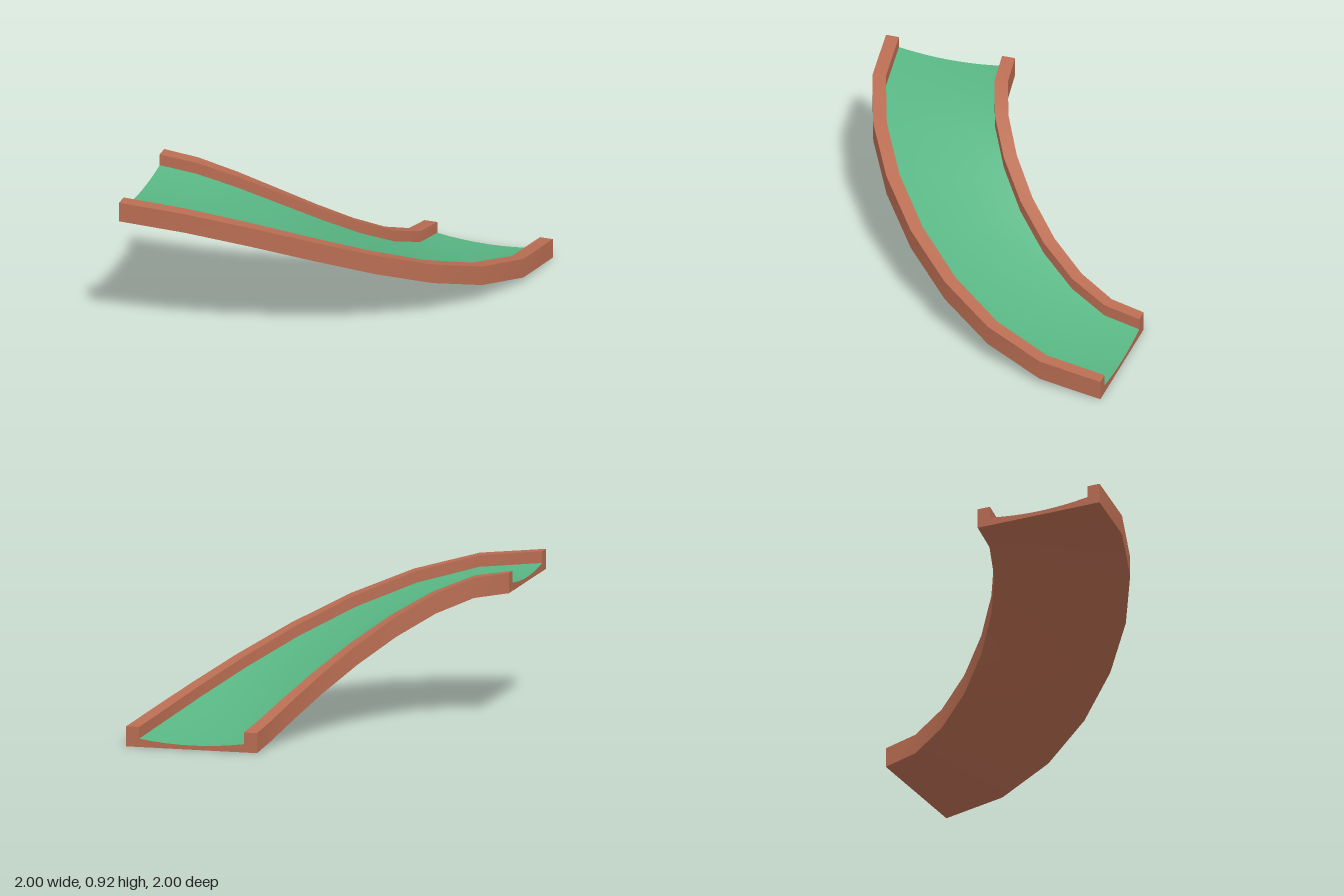
import * as THREE from 'three';

const STEPS = 8;      // straight pieces along the bend
const HALF = 0.4;     // half width of the track
const RAIL = 0.08;    // rail width
const TOP = 0.12;     // rail height
const RISE = 0.8;

// Centre line: a quarter turn that eases up from the low end to the high end
const path = new THREE.CubicBezierCurve3(
  new THREE.Vector3(0.6, 0, -1),
  new THREE.Vector3(0.6, 0, -0.2),
  new THREE.Vector3(-0.2, RISE, 0.6),
  new THREE.Vector3(-1, RISE, 0.6)
);

// Point at u across and v above the centre line
function at(t, u, v) {
  const p = path.getPoint(t);
  const d = path.getTangent(t).setY(0).normalize();
  return p.add(new THREE.Vector3(d.z * u, v, -d.x * u));
}

// Sweeps an open line of cross-section points along the path
function sweep(line) {
  const pos = [], index = [], n = line.length;
  for (let i = 0; i <= STEPS; i++) {
    for (const [u, v] of line) pos.push(...at(i / STEPS, u, v).toArray());
  }
  for (let i = 0; i < STEPS; i++) {
    for (let j = 0; j < n - 1; j++) {
      const a = i * n + j, b = a + 1, c = a + n, d = b + n;
      index.push(a, b, c, b, d, c);
    }
  }
  const g = new THREE.BufferGeometry();
  g.setAttribute('position', new THREE.Float32BufferAttribute(pos, 3));
  g.setIndex(index);
  g.computeVertexNormals();
  return g;
}

// Flat face closing one end of the track
function endCap(profile, t) {
  const g = new THREE.ShapeGeometry(new THREE.Shape(profile.map(([u, v]) => new THREE.Vector2(u, v))));
  const p = g.attributes.position;
  for (let i = 0; i < p.count; i++) {
    const q = at(t, p.getX(i), p.getY(i));
    p.setXYZ(i, q.x, q.y, q.z);
  }
  if (t === 0) g.setIndex(Array.from(g.index.array).reverse());
  g.computeVertexNormals();
  return g;
}

export function createModel() {
  const brick = new THREE.MeshStandardMaterial({ color: 0xb96d52 });
  brick.name = 'brick brown';
  const green = new THREE.MeshStandardMaterial({ color: 0x58b583 });
  green.name = 'turf green';

  const model = new THREE.Group();
  model.name = 'curvedRamp';
  const add = (parent, name, geometry, material) => {
    const m = new THREE.Mesh(geometry, material);
    m.name = name;
    parent.add(m);
  };

  // Dished running surface, from the outer rail to the inner rail
  const inside = HALF - RAIL;
  const dish = [];
  for (let i = 0; i <= 8; i++) {
    const s = 1 - i / 4;
    dish.push([s * inside, 0.025 + 0.025 * s * s]);
  }
  add(model, 'runningSurface', sweep(dish), green);
  add(model, 'underside', sweep([[-HALF, 0], [HALF, 0]]), brick);

  // Rails: outside wall, top and inside wall, each with sharp edges
  const outer = [[HALF, 0], [HALF, TOP], [inside, TOP], [inside, 0.05]];
  const inner = outer.map(([u, v]) => [-u, v]).reverse();
  for (const [name, line] of [['outerRail', outer], ['innerRail', inner]]) {
    const rail = new THREE.Group();
    rail.name = name;
    model.add(rail);
    for (let i = 0; i < 3; i++) add(rail, name + 'Face' + (i + 1), sweep([line[i], line[i + 1]]), brick);
  }

  // Closed ends
  const profile = [...outer, ...dish.slice(1, -1), ...inner];
  add(model, 'lowEnd', endCap(profile, 0), brick);
  add(model, 'highEnd', endCap(profile, 1), brick);
  return model;
}
